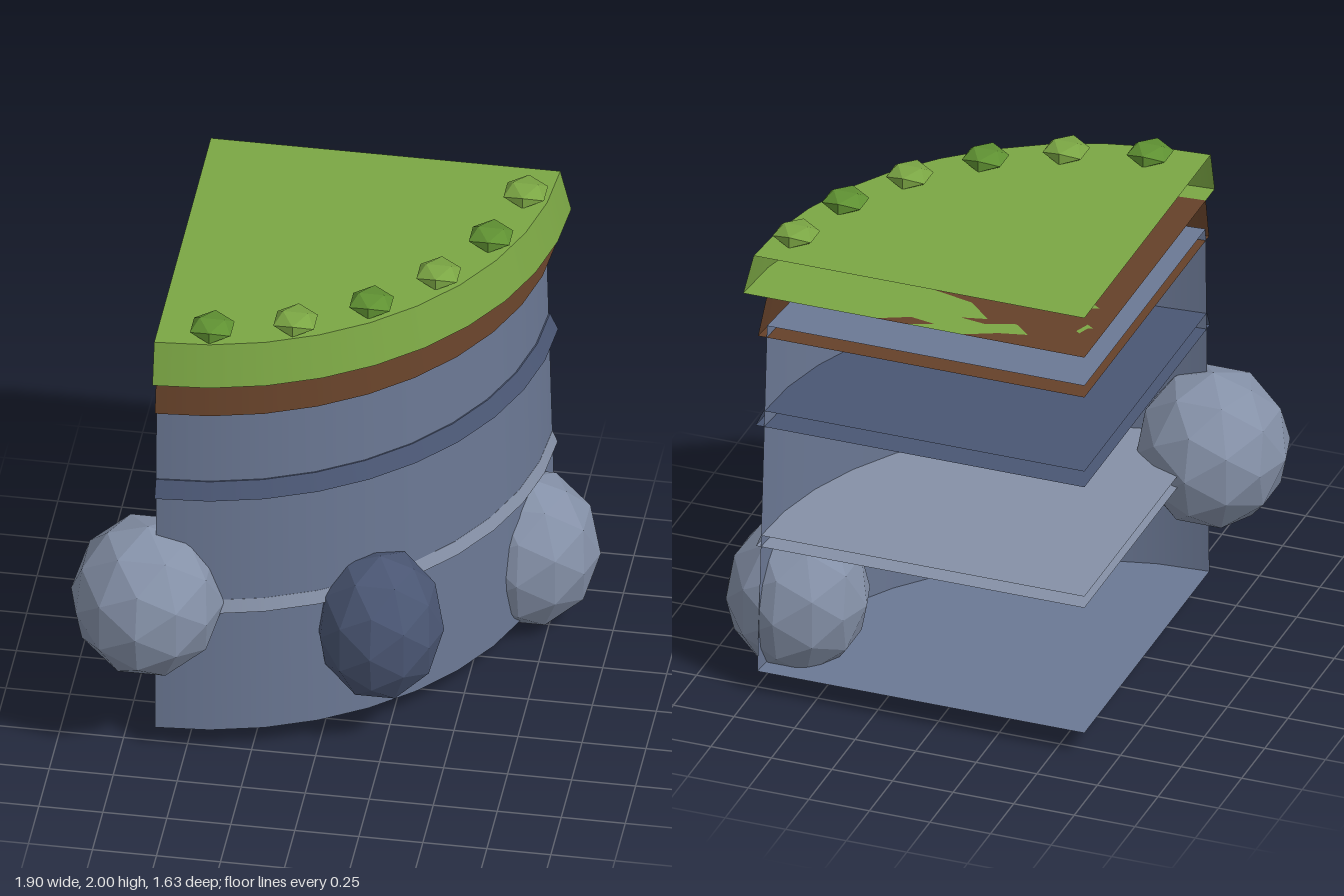
import * as THREE from 'three';

const material = (color, flatShading = false) =>
  new THREE.MeshStandardMaterial({ color, flatShading, side: THREE.DoubleSide });

// Corner of the quarter-round cliff
const CORNER_X = -0.62;
const CORNER_Z = -0.8;

// Quarter-cylinder layer, open on its two straight sides
function layer(name, y0, y1, rBottom, rTop, color) {
  const geometry = new THREE.CylinderGeometry(rTop, rBottom, y1 - y0, 10, 1, false, 0, Math.PI / 2);
  const mesh = new THREE.Mesh(geometry, material(color));
  mesh.name = name;
  mesh.position.set(CORNER_X, (y0 + y1) / 2, CORNER_Z);
  return mesh;
}

// Faceted lump used for boulders and grass tufts
function lump(name, position, scale, detail, color) {
  const mesh = new THREE.Mesh(new THREE.IcosahedronGeometry(1, detail), material(color, true));
  mesh.name = name;
  mesh.position.set(...position);
  mesh.scale.set(...scale);
  return mesh;
}

export function createModel() {
  const model = new THREE.Group();
  model.name = 'cliffCorner';

  // Stacked cliff layers
  model.add(
    layer('rockWall', 0.1, 1.64, 1.35, 1.31, 0x6b7894),
    layer('lightStratum', 0.655, 0.705, 1.355, 1.335, 0x8590a6),
    layer('darkStratum', 1.19, 1.26, 1.357, 1.325, 0x4a5673),
    layer('dirt', 1.588, 1.765, 1.347, 1.312, 0x654129),
    layer('grass', 1.765, 1.94, 1.408, 1.365, 0x7ba644)
  );

  // Boulders set into the wall
  model.add(
    lump('rightBoulder', [-0.655, 0.69, 0.5], [0.3, 0.325, 0.312], 1, 0x8591a8),
    lump('middleBoulder', [0.22, 0.515, 0.302], [0.25, 0.32, 0.252], 1, 0x4a5673),
    lump('leftBoulder', [0.66, 0.328, -0.545], [0.285, 0.327, 0.275], 1, 0x8591a8)
  );

  // Grass tufts along the curved rim
  const tufts = [[-0.41, 0.46], [-0.1, 0.365], [0.17, 0.2], [0.395, -0.03], [0.555, -0.305], [0.64, -0.615]];
  tufts.forEach(([x, z], i) => {
    model.add(lump('grassTuft', [x, 1.962, z], [0.093, 0.045, 0.094], 0, i % 2 ? 0x7ba644 : 0x5f9132));
  });

  return model;
}
